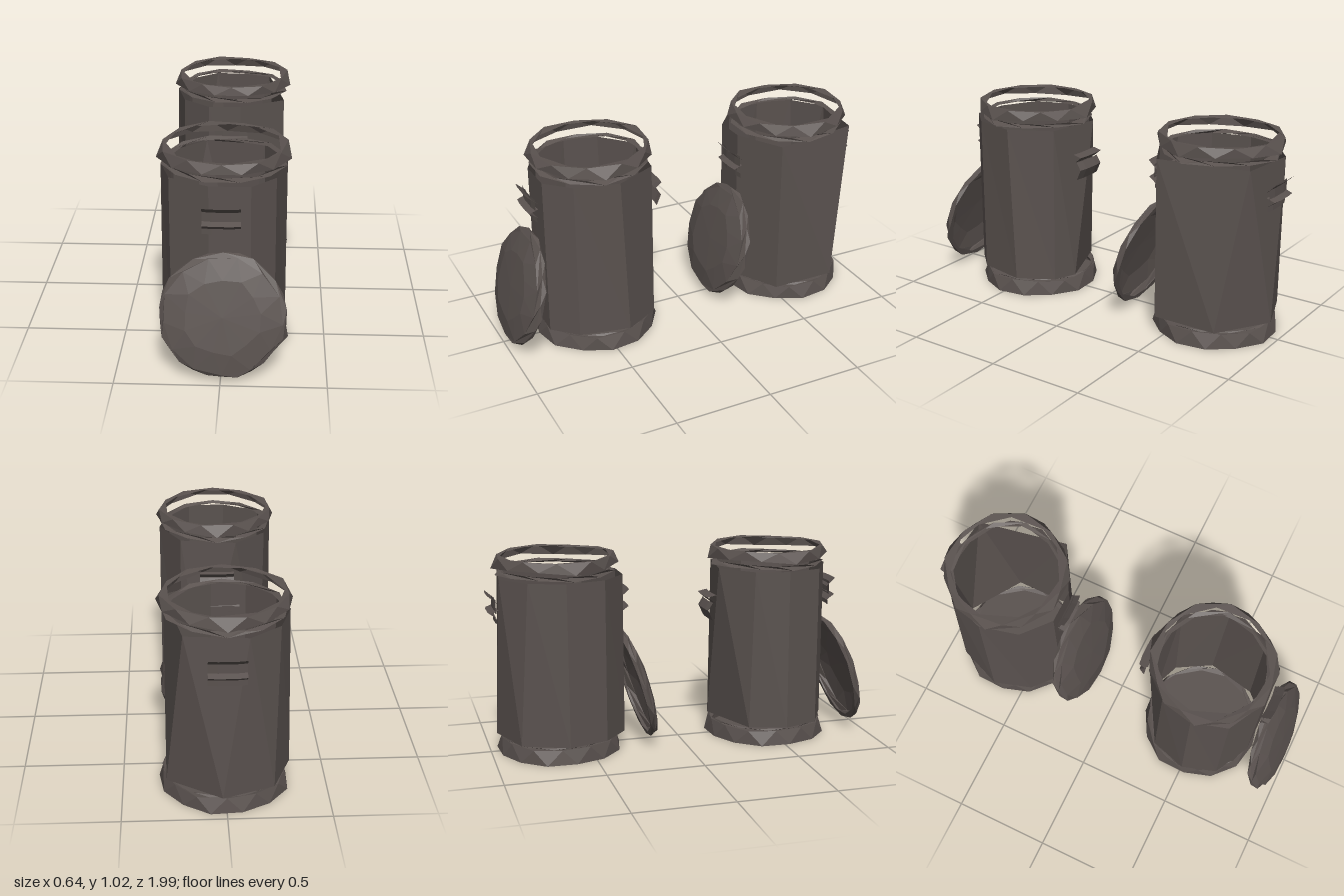
import * as THREE from 'three';

const metal = new THREE.MeshStandardMaterial({ color: 0x5a524f, flatShading: true, side: THREE.DoubleSide });
metal.name = 'dark brown metal';

// Joins rows of points (equal counts) into a faceted skin
function loft(name, rows, closed = true) {
  const n = rows[0].length, pos = [];
  for (let r = 0; r < rows.length - 1; r++) {
    for (let i = 0; i < (closed ? n : n - 1); i++) {
      const j = (i + 1) % n;
      const a = rows[r][i], b = rows[r][j], c = rows[r + 1][j], d = rows[r + 1][i];
      pos.push(...a, ...d, ...b, ...b, ...d, ...c);
    }
  }
  const geo = new THREE.BufferGeometry();
  geo.setAttribute('position', new THREE.Float32BufferAttribute(pos, 3));
  geo.computeVertexNormals();
  const mesh = new THREE.Mesh(geo, metal);
  mesh.name = name;
  return mesh;
}

// Circle row with a battered edge; turn is in steps, dent shifts radius, wave shifts height
function circle(r, y, n = 12, turn = 0, dent = 0, wave = 0) {
  return Array.from({ length: n }, (_, i) => {
    const a = ((i + turn) / n) * Math.PI * 2;
    const rr = r + dent * Math.sin(i * 2.3 + turn * 5);
    return [Math.sin(a) * rr, y + wave * Math.cos(i * 1.9), Math.cos(a) * rr];
  });
}

// Dented lid: a hollow shallow dome with a turned-in edge
function lid() {
  const g = new THREE.Group();
  g.name = 'lid';
  const n = 13;
  g.add(loft('lidShell', [
    circle(0.278, -0.024, n, 0.5, 0.004),
    circle(0.298, -0.025, n, 0, 0.004),
    circle(0.3, -0.006, n, 0.5, 0.004, 0.005),
    circle(0.28, 0.016, n, 0, 0.006),
    circle(0.18, 0.039, n, 0.5, 0.01),
    circle(0, 0.043, n),
  ]));
  g.position.set(0.008, 0.317, 0.415);
  g.rotation.x = Math.PI / 2 - 0.265;
  return g;
}

// Handle strips bent along x; profile points are [y, out]
const slats = {
  upperSlat: [[0.79, 0], [0.832, 0.048]],
  facePlate: [[0.815, 0.014], [0.745, 0.014]],
  lowerSlat: [[0.762, 0], [0.745, 0.045], [0.715, 0.002]],
  footPlate: [[0.715, 0.008], [0.69, 0.008]],
};
const hookedSlats = {
  upperSlat: [[0.775, 0], [0.765, 0.048], [0.735, 0.012]],
  hook: [[0.735, 0.02], [0.695, 0.045], [0.64, 0.02]],
};
function handle(name, parts, out, turn) {
  const g = new THREE.Group();
  g.name = name;
  for (const [part, profile] of Object.entries(parts)) {
    g.add(loft(part, profile.map(([y, z]) =>
      [-0.09, -0.045, 0.045, 0.09].map((x, k) => [x, y, out + z + (k % 3 ? 0.006 : 0)])), false));
  }
  g.rotation.y = turn;
  return g;
}

// One bin: base, shell, neck band, rim, two handles and a leaning lid
function bin(name, z, top, bottom, backParts) {
  const g = new THREE.Group();
  g.name = name;
  const row = (pts, y) => pts.map(([x, d]) => [x, y, d]);
  g.add(
    loft('base', [
      circle(0, 0.002, 13),
      circle(0.318, 0, 13, 0, 0.008),
      circle(0.302, 0.074, 13, 0.5, 0.006, 0.004),
      circle(0.285, 0.066, 13, 0, 0.005),
    ]),
    loft('baseBand', [circle(0.302, 0.088, 12, 0, 0.004, 0.003), circle(0.298, 0.08, 12, 0.5, 0.004, 0.002)]),
    loft('shell', [row(bottom, 0.092), row(top, 0.918)]),
    loft('neckBand', [
      circle(0.272, 0.933, 11, 0, 0.008, 0.006),
      circle(0.298, 0.928, 11, 0.5, 0.008, 0.005),
      circle(0.288, 0.947, 11, 0, 0.006, 0.004),
    ]),
    loft('rim', [
      circle(0.282, 1.012, 11, 0.5, 0.008, 0.004),
      circle(0.302, 1.018, 11, 0, 0.008, 0.003),
      circle(0.318, 0.968, 11, 0.5, 0.008, 0.01),
    ]),
    handle('frontHandle', slats, 0.312, 0),
    handle('backHandle', backParts, 0.303, Math.PI),
    lid(),
  );
  g.position.z = z;
  return g;
}

export function createModel() {
  const model = new THREE.Group();
  model.name = 'pairOfBins';

  // Uneven cross-sections of the bin shells as [x, z]
  const frontTop = [[-0.06, 0.302], [0.135, 0.302], [0.25, 0.185], [0.302, -0.035], [0.19, -0.25], [-0.1, -0.295], [-0.26, -0.15], [-0.303, 0.02], [-0.25, 0.2]];
  const frontBottom = [[-0.06, 0.3], [0.135, 0.302], [0.25, 0.185], [0.303, -0.07], [0.2, -0.25], [0.08, -0.298], [-0.25, -0.17], [-0.308, 0.02], [-0.25, 0.2]];
  const backTop = [[-0.12, 0.32], [0.05, 0.32], [0.285, 0.19], [0.2, -0.27], [-0.1, -0.3], [-0.25, -0.18], [-0.308, 0], [-0.26, 0.2]];
  const backBottom = [[-0.12, 0.322], [0.05, 0.322], [0.285, 0.19], [0.285, -0.15], [0.02, -0.322], [-0.23, -0.23], [-0.322, 0], [-0.26, 0.2]];

  model.add(
    bin('frontBin', 0.488, frontTop, frontBottom, hookedSlats),
    bin('backBin', -0.643, backTop, backBottom, slats),
  );
  return model;
}
